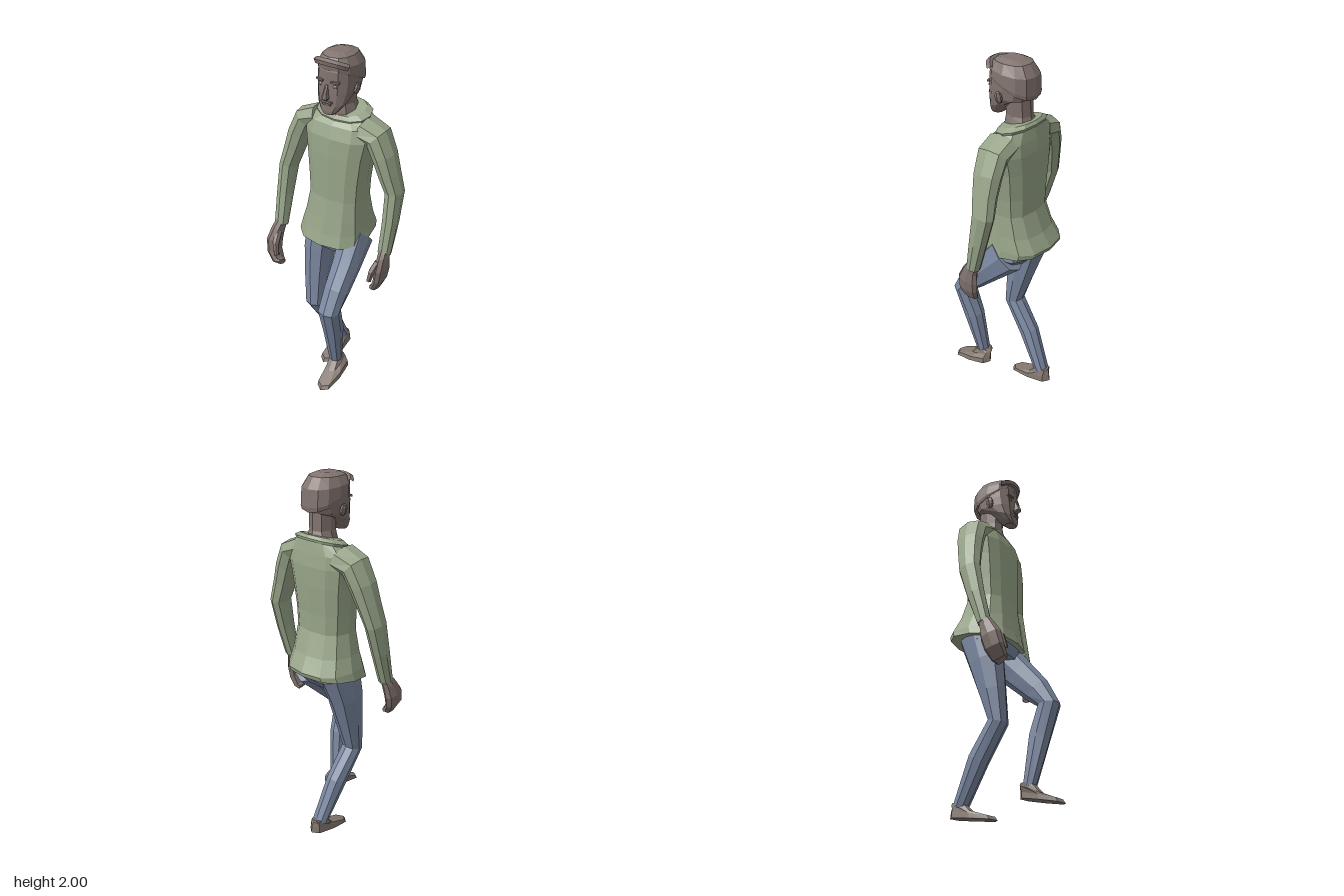
import * as THREE from 'three';

const mat = (name, color) => new THREE.MeshStandardMaterial({ name, color, flatShading: true });

// Skin over a downward chain of rings [x, y, z, halfWidth, halfDepth, slope].
// flat: rings stay level (tilted by slope); otherwise they turn with the path.
function loft(rings, { sides = 8, flat = false, power = 2.3, turn = 0 } = {}) {
  const pos = [], idx = [];
  const c = rings.map(r => new THREE.Vector3(r[0], r[1], r[2]));
  const sq = v => Math.sign(v) * Math.pow(Math.abs(v), 2 / power);
  rings.forEach((r, i) => {
    const t = c[Math.min(i + 1, c.length - 1)].clone().sub(c[Math.max(i - 1, 0)]).normalize();
    const u = new THREE.Vector3(1, 0, 0), v = new THREE.Vector3(0, r[5] || 0, 1);
    if (!flat) {
      u.addScaledVector(t, -t.x).normalize();
      v.crossVectors(t, u);
    }
    for (let j = 0; j < sides; j++) {
      const a = (j + turn) / sides * Math.PI * 2;
      const p = c[i].clone().addScaledVector(u, sq(Math.cos(a)) * r[3]).addScaledVector(v, sq(Math.sin(a)) * r[4]);
      pos.push(p.x, p.y, p.z);
    }
  });
  const n = rings.length, top = n * sides, bottom = top + 1;
  pos.push(...c[0].toArray(), ...c[n - 1].toArray());
  for (let j = 0; j < sides; j++) {
    const k = (j + 1) % sides;
    for (let i = 0; i < n - 1; i++) {
      const a = i * sides + j, b = i * sides + k;
      idx.push(a, b, a + sides, b, b + sides, a + sides);
    }
    idx.push(top, k, j, bottom, (n - 1) * sides + j, (n - 1) * sides + k);
  }
  const g = new THREE.BufferGeometry();
  g.setAttribute('position', new THREE.Float32BufferAttribute(pos, 3));
  g.setIndex(idx);
  g.computeVertexNormals();
  return g;
}

export function createModel() {
  const model = new THREE.Group();
  const skin = mat('skin', 0x82746f), shirt = mat('shirt green', 0x98a589);
  const denim = mat('denim blue', 0x7b88a1), leather = mat('shoe brown', 0x857971);
  const add = (name, geo, material, parent = model) => {
    const m = new THREE.Mesh(geo, material);
    m.name = name;
    parent.add(m);
    return m;
  };

  // Head
  const head = new THREE.Group();
  head.name = 'head';
  model.add(head);
  add('skull', loft([
    [0.01, 1.99, -0.05, 0.05, 0.06], [0.01, 1.97, -0.055, 0.08, 0.1],
    [0.01, 1.92, -0.06, 0.098, 0.122], [0.01, 1.86, -0.058, 0.098, 0.122],
    [0.01, 1.81, -0.045, 0.094, 0.112], [0.01, 1.765, -0.008, 0.08, 0.074, -0.3],
    [0.01, 1.725, 0.02, 0.055, 0.048, -0.2], [0.01, 1.702, 0.035, 0.035, 0.03, -0.1],
  ], { sides: 12, flat: true, power: 2.5 }), skin, head);
  add('hair', loft([
    [0.01, 2, -0.05, 0.045, 0.05], [0.01, 1.985, -0.055, 0.078, 0.095],
    [0.01, 1.94, -0.062, 0.102, 0.125, 0.08], [0.01, 1.885, -0.066, 0.105, 0.126, 0.35],
    [0.01, 1.87, -0.066, 0.1, 0.122, 0.42],
  ], { sides: 12, flat: true, power: 2.4 }), skin, head);
  const fringe = new THREE.CatmullRomCurve3([
    [-0.08, 1.945, 0.015], [-0.045, 1.962, 0.05], [0.01, 1.968, 0.062], [0.065, 1.962, 0.05], [0.1, 1.945, 0.015],
  ].map(p => new THREE.Vector3(...p)));
  add('fringe', new THREE.TubeGeometry(fringe, 8, 0.018, 5), skin, head);
  add('nose', loft([
    [0.01, 1.855, 0.062, 0.009, 0.008], [0.01, 1.81, 0.075, 0.012, 0.02],
    [0.01, 1.79, 0.078, 0.019, 0.024], [0.01, 1.78, 0.07, 0.014, 0.012],
  ], { sides: 6, flat: true, turn: 0.5 }), skin, head);
  for (const [y, w, h] of [[1.767, 0.062, 0.009], [1.755, 0.048, 0.009]])
    add('lip', new THREE.BoxGeometry(w, h, 0.016), skin, head).position.set(0.01, y, 0.062);
  for (const s of [-1, 1]) {
    const eye = add('eye', new THREE.SphereGeometry(0.016, 8, 5), skin, head);
    eye.position.set(0.01 + s * 0.043, 1.85, 0.052);
    eye.scale.set(1, 0.65, 0.6);
    const brow = add('eyebrow', new THREE.BoxGeometry(0.045, 0.009, 0.014), skin, head);
    brow.position.set(0.01 + s * 0.044, 1.872, 0.056);
    brow.rotation.y = s * 0.25;
    const ear = add('ear', new THREE.SphereGeometry(0.034, 6, 5), skin, head);
    ear.position.set(0.01 + s * 0.105, 1.825, -0.045);
    ear.scale.set(0.4, 1, 0.65);
    ear.rotation.z = -s * 0.2;
  }
  add('neck', loft([
    [0.01, 1.84, -0.085, 0.062, 0.07], [0.007, 1.72, -0.09, 0.058, 0.068],
    [0.005, 1.67, -0.09, 0.075, 0.078, -0.3], [0.005, 1.64, -0.09, 0.085, 0.08, -0.3],
  ], { flat: true }), skin);

  // Shirt
  add('shirtBody', loft([
    [0.005, 1.675, -0.1, 0.08, 0.072, -0.3], [0.005, 1.66, -0.1, 0.14, 0.085, -0.2],
    [0.005, 1.615, -0.09, 0.195, 0.105], [0.005, 1.55, -0.083, 0.2, 0.12],
    [0, 1.45, -0.08, 0.182, 0.122], [-0.003, 1.3, -0.075, 0.166, 0.118],
    [-0.003, 1.2, -0.074, 0.16, 0.118], [-0.012, 1.08, -0.085, 0.175, 0.148],
    [-0.022, 1, -0.1, 0.192, 0.178], [-0.025, 0.955, -0.088, 0.198, 0.182, -0.12],
  ], { sides: 12, flat: true, power: 2.6 }), shirt);
  add('collar', loft([
    [0.005, 1.688, -0.1, 0.085, 0.072, -0.25], [0.005, 1.686, -0.1, 0.12, 0.084, -0.25],
    [0.005, 1.668, -0.1, 0.155, 0.095, -0.25], [0.005, 1.655, -0.1, 0.15, 0.092, -0.25],
  ], { sides: 12, flat: true }), shirt);

  // Sleeves: shared shape, each arm swung by its own depths
  const arm = [[0.13, 1.6, 0.065, 0.09], [0.215, 1.573, 0.06, 0.085], [0.255, 1.48, 0.056, 0.078],
    [0.285, 1.38, 0.05, 0.068], [0.313, 1.28, 0.044, 0.062], [0.315, 1.12, 0.041, 0.05], [0.31, 0.945, 0.037, 0.036]];
  const swing = { left: [-0.09, -0.092, -0.093, -0.098, -0.108, -0.075, -0.035],
    right: [-0.09, -0.085, -0.073, -0.058, -0.04, 0, 0.05] };
  for (const side of ['left', 'right']) {
    const s = side === 'left' ? 1 : -1;
    add(side + 'Sleeve', loft(arm.map(([x, y, w, d], i) => [s * x, y, swing[side][i], w, d])), shirt);
  }

  // Hands
  add('leftHand', loft([
    [0.31, 0.97, -0.038, 0.027, 0.03], [0.315, 0.92, -0.015, 0.027, 0.045], [0.318, 0.86, 0, 0.027, 0.062],
    [0.312, 0.8, 0.005, 0.024, 0.06], [0.29, 0.745, 0.008, 0.02, 0.05], [0.272, 0.737, 0.01, 0.014, 0.04],
  ]), skin);
  add('leftThumb', loft([
    [0.305, 0.91, 0.02, 0.02, 0.022], [0.288, 0.86, 0.052, 0.018, 0.02], [0.275, 0.8, 0.058, 0.013, 0.014],
  ], { sides: 6 }), skin);
  add('rightHand', loft([
    [-0.308, 0.97, 0.045, 0.028, 0.03], [-0.318, 0.92, 0.07, 0.032, 0.042], [-0.326, 0.86, 0.095, 0.032, 0.058],
    [-0.318, 0.8, 0.11, 0.028, 0.055], [-0.285, 0.752, 0.122, 0.024, 0.045], [-0.258, 0.745, 0.126, 0.016, 0.036],
  ]), skin);
  add('rightThumb', loft([
    [-0.305, 0.91, 0.085, 0.02, 0.022], [-0.288, 0.86, 0.135, 0.018, 0.02], [-0.272, 0.8, 0.15, 0.013, 0.014],
  ], { sides: 6 }), skin);

  // Trousers
  add('hips', loft([
    [-0.015, 1, -0.075, 0.165, 0.13], [-0.012, 0.93, -0.07, 0.18, 0.13], [0, 0.885, -0.06, 0.13, 0.1],
  ], { sides: 10, flat: true, power: 2.6 }), denim);
  add('rightLeg', loft([
    [-0.105, 0.97, -0.085, 0.088, 0.12], [-0.113, 0.82, -0.045, 0.078, 0.1], [-0.11, 0.65, -0.01, 0.066, 0.074],
    [-0.105, 0.485, 0.02, 0.054, 0.052], [-0.095, 0.31, -0.095, 0.05, 0.056], [-0.075, 0.085, -0.207, 0.042, 0.036],
  ]), denim);
  add('leftLeg', loft([
    [0.1, 0.95, -0.09, 0.08, 0.11], [0.113, 0.82, 0.03, 0.072, 0.088], [0.12, 0.71, 0.135, 0.065, 0.074],
    [0.12, 0.62, 0.2, 0.06, 0.06], [0.11, 0.45, 0.147, 0.05, 0.06], [0.09, 0.19, 0.095, 0.036, 0.034],
  ]), denim);

  // Shoes
  add('rightShoe', loft([
    [-0.075, 0.105, -0.215, 0.034, 0.034], [-0.073, 0.075, -0.19, 0.038, 0.065, -0.35],
    [-0.07, 0.045, -0.14, 0.043, 0.125, -0.2], [-0.07, 0.018, -0.135, 0.045, 0.134, -0.13],
  ], { flat: true, power: 3 }), leather);
  add('leftShoe', loft([
    [0.09, 0.21, 0.085, 0.034, 0.034], [0.095, 0.175, 0.105, 0.038, 0.068, -0.4],
    [0.11, 0.143, 0.15, 0.046, 0.117, -0.27], [0.112, 0.116, 0.155, 0.048, 0.125, -0.2],
  ], { flat: true, power: 3 }), leather);

  return model;
}
